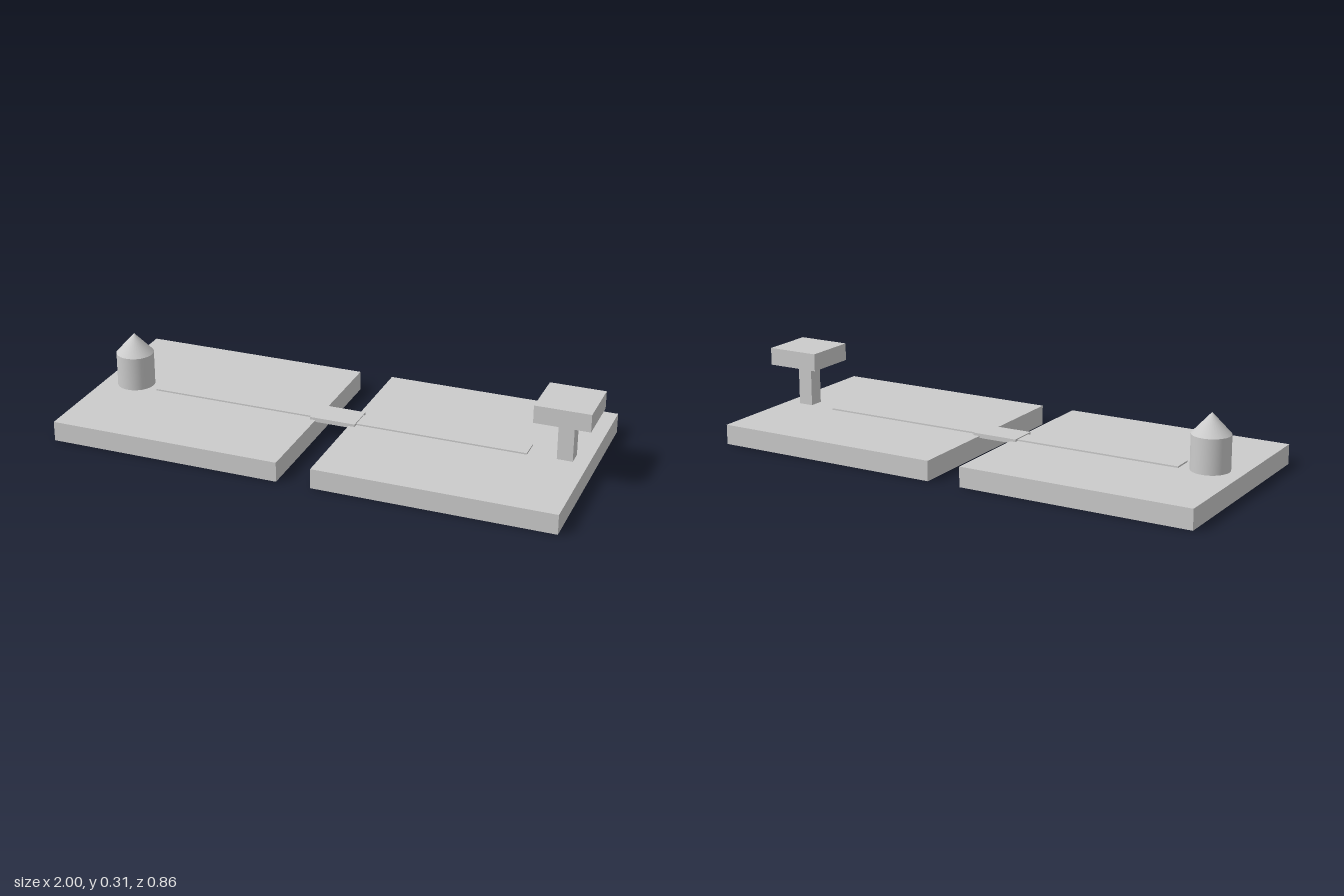
import * as THREE from 'three';

const material = new THREE.MeshStandardMaterial({ color: 0xcccccc });
const smooth = material;

function add(parent, name, geometry, x = 0, y = 0, z = 0) {
  const mesh = new THREE.Mesh(geometry, smooth);
  mesh.name = name;
  mesh.position.set(x, y, z);
  parent.add(mesh);
  return mesh;
}

// Box given by its extents along each axis
function block(parent, name, [x0, x1], [y0, y1], [z0, z1]) {
  const geometry = new THREE.BoxGeometry(x1 - x0, y1 - y0, z1 - z0);
  return add(parent, name, geometry, (x0 + x1) / 2, (y0 + y1) / 2, (z0 + z1) / 2);
}

function rectangle(path, w, d) {
  return path.moveTo(-w / 2, -d / 2).lineTo(w / 2, -d / 2).lineTo(w / 2, d / 2).lineTo(-w / 2, d / 2).closePath();
}

export function createModel() {
  const model = new THREE.Group();
  model.name = 'twoPlatforms';
  const top = 0.078;

  // Two ground slabs with a gap between them
  block(model, 'rightPlatform', [-1, -0.08], [0, top], [-0.43, 0.43]);
  block(model, 'leftPlatform', [0.055, 0.98], [0, top], [-0.43, 0.43]);

  // Thin path on the slabs, and the bridge that carries it over the gap
  block(model, 'rightPath', [-0.765, -0.08], [top - 0.005, 0.084], [-0.048, 0.032]);
  block(model, 'leftPath', [0.055, 0.75], [top - 0.005, 0.084], [-0.048, 0.032]);
  block(model, 'bridge', [-0.103, 0.08], [0.071, 0.088], [-0.066, 0.05]);

  // Round tower with a pointed roof
  const tower = new THREE.Group();
  tower.name = 'tower';
  tower.position.set(-0.872, top, -0.005);
  add(tower, 'towerWall', new THREE.CylinderGeometry(0.074, 0.074, 0.134, 32), 0, 0.067, 0);
  add(tower, 'towerRoof', new THREE.ConeGeometry(0.074, 0.08, 32), 0, 0.174, 0);
  model.add(tower);

  // Square post carrying a cap that is hollow underneath
  const pillar = new THREE.Group();
  pillar.name = 'pillar';
  pillar.position.set(0.892, 0, -0.005);
  block(pillar, 'post', [-0.031, 0.029], [top, 0.29], [-0.03, 0.03]);
  const rim = rectangle(new THREE.Shape(), 0.213, 0.213);
  rim.holes.push(rectangle(new THREE.Path(), 0.15, 0.15));
  const rimGeometry = new THREE.ExtrudeGeometry(rim, { depth: 0.04, bevelEnabled: false }).rotateX(-Math.PI / 2);
  add(pillar, 'capRim', rimGeometry, 0, 0.246, 0);
  block(pillar, 'capTop', [-0.1065, 0.1065], [0.286, 0.315], [-0.1065, 0.1065]);
  model.add(pillar);

  return model;
}
